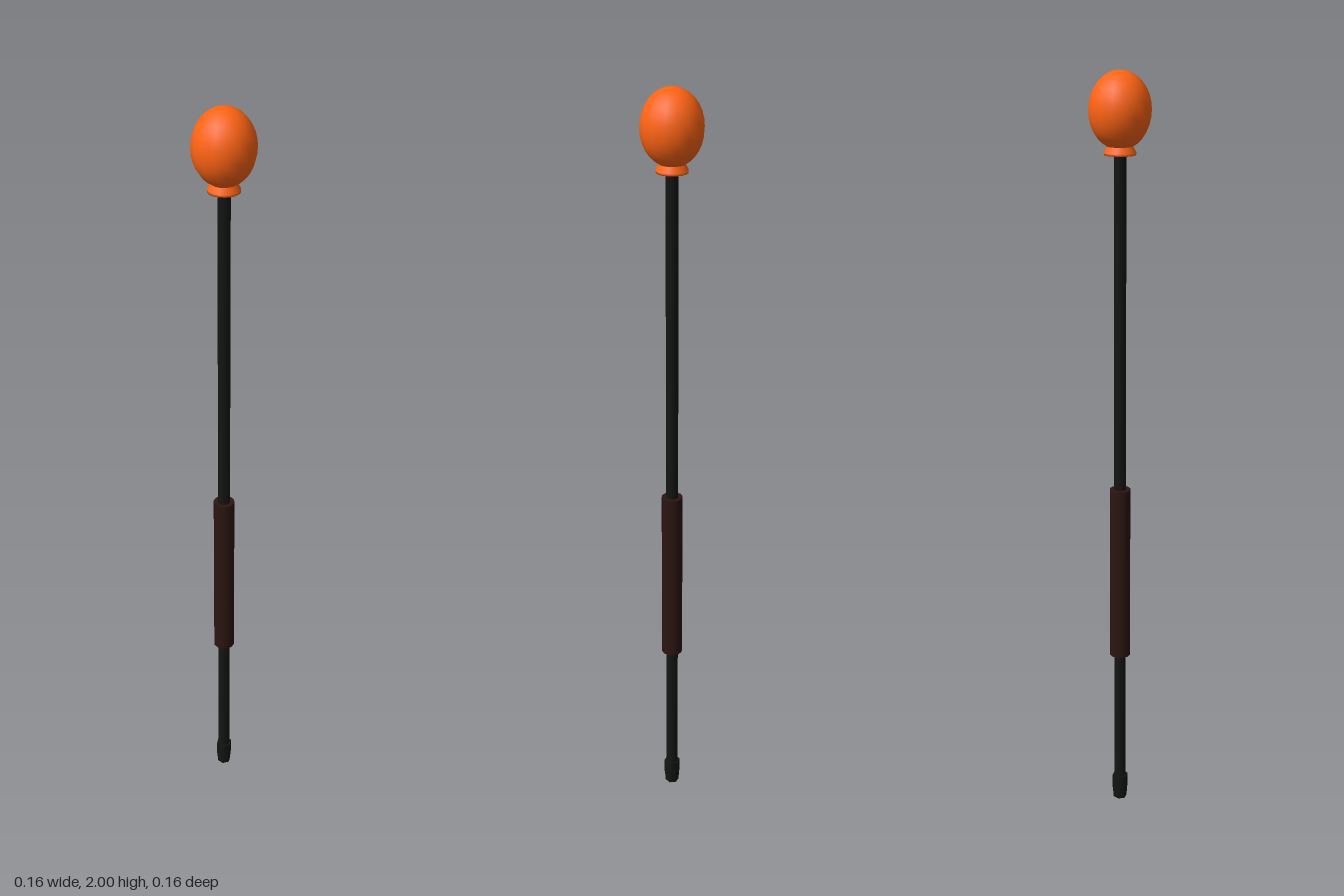
import * as THREE from 'three';

const orange = new THREE.MeshStandardMaterial({ color: 0xff6414, side: THREE.DoubleSide });
const black = new THREE.MeshStandardMaterial({ color: 0x141414 });
const brown = new THREE.MeshStandardMaterial({ color: 0x2c1511 });

export function createModel() {
  const model = new THREE.Group();
  model.name = 'mallet';

  const add = (name, geometry, material, y = 0) => {
    const mesh = new THREE.Mesh(geometry, material);
    mesh.name = name;
    mesh.position.y = y;
    model.add(mesh);
    return mesh;
  };
  // Tapered rod between two heights
  const rod = (name, rTop, rBottom, y0, y1, sides, material) =>
    add(name, new THREE.CylinderGeometry(rTop, rBottom, y1 - y0, sides), material, (y0 + y1) / 2);

  // Egg-shaped head
  const head = new THREE.SphereGeometry(0.078, 16, 16);
  head.scale(1, 0.095 / 0.078, 1);
  add('head', head, orange, 1.905);

  // Flared collar under the head, closed by a ring around the shaft
  const collar = [[0.015, 1.806], [0.027, 1.806], [0.04, 1.798], [0.04, 1.804], [0.03, 1.822], [0.028, 1.83]];
  add('collar', new THREE.LatheGeometry(collar.map(p => new THREE.Vector2(...p)), 16), orange);

  // Shaft and hand grip
  rod('shaft', 0.016, 0.016, 0.05, 1.83, 12, black);
  rod('grip', 0.028, 0.028, 0.447, 0.928, 12, brown);

  // Stepped end cap
  rod('endCapUpper', 0.022, 0.022, 0.03, 0.07, 6, black);
  rod('endCapLower', 0.021, 0.019, 0, 0.03, 6, black);

  return model;
}
